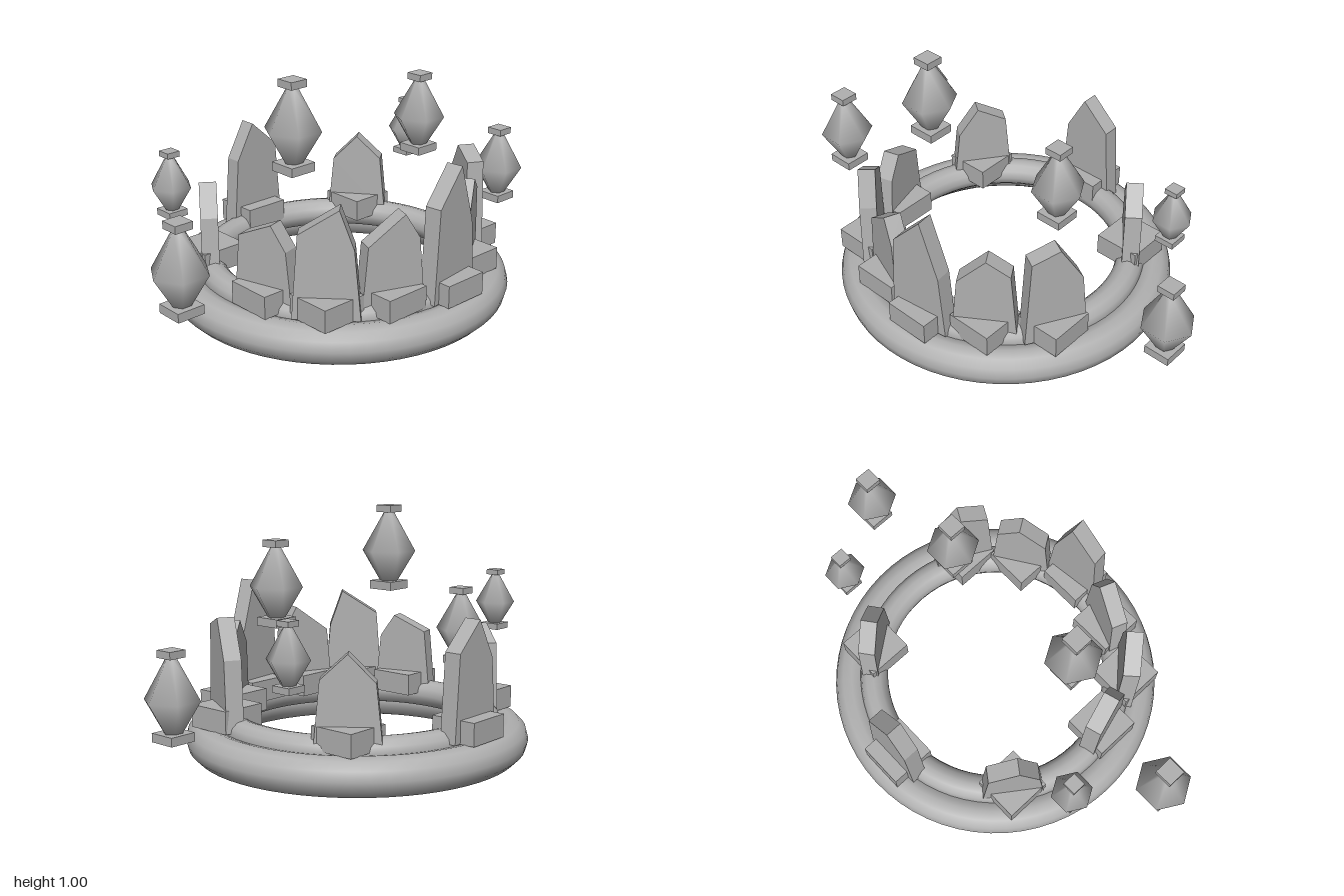
import * as THREE from 'three';

export function createModel() {
  const model = new THREE.Group();
  model.name = 'crystalCrown';
  const stone = new THREE.MeshStandardMaterial({ color: 0xb0b0b0 });
  stone.name = 'grey stone';

  const add = (parent, name, geometry, x, y, z) => {
    const mesh = new THREE.Mesh(geometry, stone);
    mesh.name = name;
    mesh.position.set(x, y, z);
    parent.add(mesh);
    return mesh;
  };

  // Two nested rings form the band
  const CX = -0.015;
  const ring = (name, radius, tube, y) => {
    const geometry = new THREE.TorusGeometry(radius, tube, 12, 64);
    geometry.rotateX(Math.PI / 2);
    add(model, name, geometry, CX, y, 0);
  };
  ring('outerRing', 0.627, 0.078, 0.078);
  ring('innerRing', 0.53, 0.06, 0.145);

  // Standing crystal slabs, each in a square socket:
  // x, z, left shoulder height, peak offset, peak height, right shoulder height
  const BASE = 0.155, THICK = 0.07;
  const slabs = [
    [-0.015, -0.562, 0.50, 0.02, 0.615, 0.46],
    [-0.447, -0.31, 0.45, 0.02, 0.515, 0.39],
    [0.403, -0.32, 0.42, 0.0, 0.518, 0.41],
    [-0.515, 0.145, 0.43, 0.04, 0.495, 0.40],
    [-0.427, 0.38, 0.495, 0.05, 0.595, 0.44],
    [-0.2, 0.485, 0.43, 0.045, 0.54, 0.44],
    [0.05, 0.55, 0.54, 0.026, 0.68, 0.44],
    [0.273, 0.435, 0.43, 0.01, 0.54, 0.475],
    [0.472, 0.263, 0.555, 0.01, 0.595, 0.44],
  ];
  for (const [x, z, leftY, peakX, peakY, rightY] of slabs) {
    const shape = new THREE.Shape([
      [-0.13, BASE], [0.13, BASE], [0.105, rightY], [peakX, peakY], [-0.105, leftY],
    ].map(([u, v]) => new THREE.Vector2(u, v)));
    const geometry = new THREE.ExtrudeGeometry(shape, { depth: THICK, bevelEnabled: false });
    geometry.translate(0, 0, -THICK / 2);
    add(model, 'crystalSlab', geometry, x, 0, z).rotation.y = Math.atan2(x - CX, z);
    add(model, 'slabSocket', new THREE.BoxGeometry(0.195, 0.092, 0.195), x, 0.2, z);
  }

  // Floating six-sided gems with a cap and a foot: x, widest height, z, scale
  const profile = [[0, -0.155], [0.032, -0.14], [0.115, 0], [0.022, 0.165], [0, 0.175]]
    .map(([r, y]) => new THREE.Vector2(r, y));
  const gemGeometry = new THREE.LatheGeometry(profile, 6, Math.PI / 2);
  const capGeometry = new THREE.BoxGeometry(0.077, 0.03, 0.077);
  const footGeometry = new THREE.BoxGeometry(0.116, 0.036, 0.116);
  const gems = [
    [-0.885, 0.39, 0.105, 1],
    [-0.34, 0.803, 0.1, 1],
    [0.345, 0.717, 0.105, 0.93],
    [0.64, 0.518, -0.245, 0.72],
    [0.885, 0.361, 0.1, 0.94],
    [-0.68, 0.575, -0.225, 0.72],
  ];
  for (const [x, y, z, scale] of gems) {
    const gem = new THREE.Group();
    gem.name = 'floatingGem';
    add(gem, 'gemBody', gemGeometry, 0, 0, 0);
    add(gem, 'gemCap', capGeometry, 0, 0.181, 0);
    add(gem, 'gemFoot', footGeometry, 0, -0.147, 0);
    gem.position.set(x, y, z);
    gem.scale.setScalar(scale);
    model.add(gem);
  }

  return model;
}
